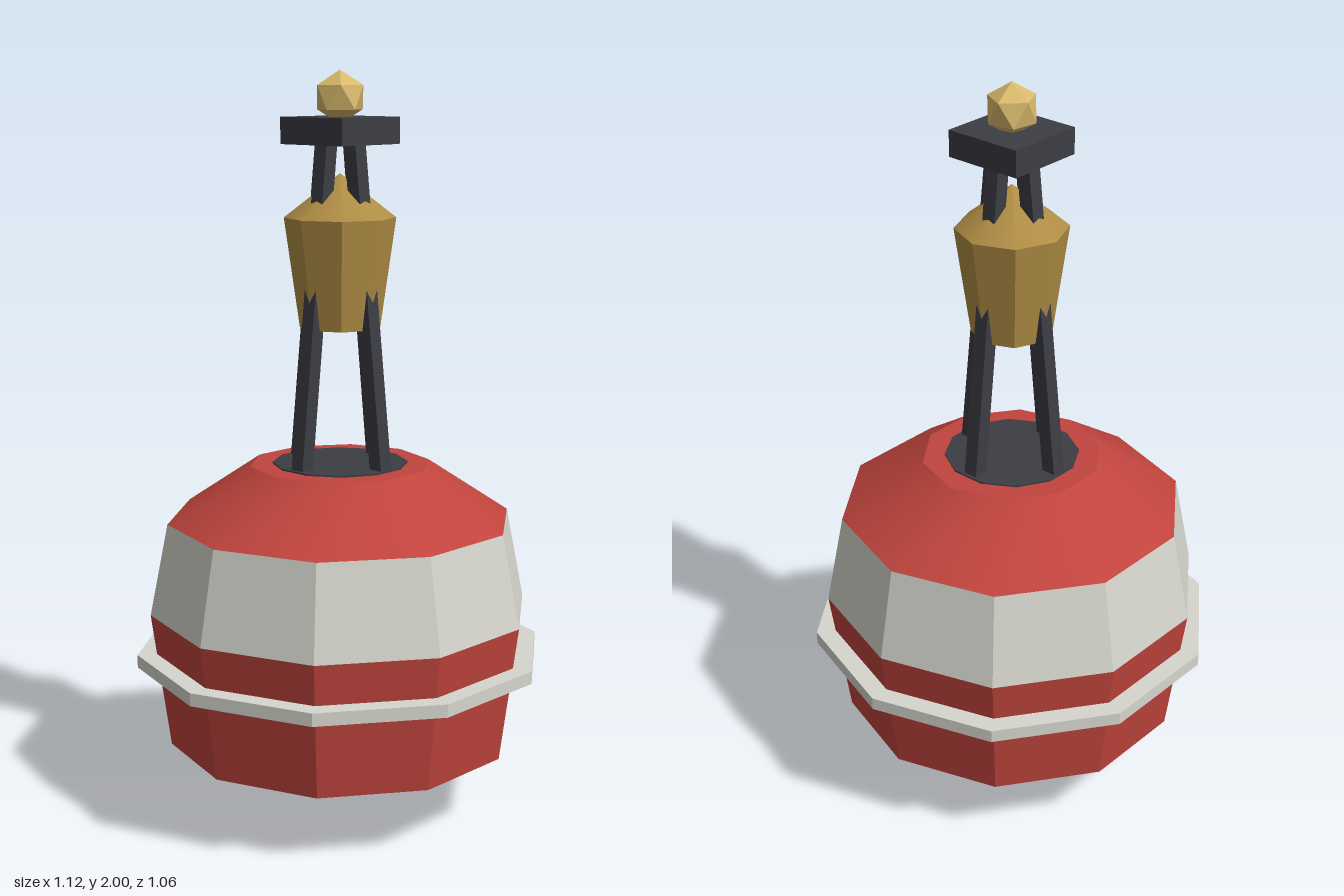
import * as THREE from 'three';
import { toCreasedNormals } from 'three/addons/utils/BufferGeometryUtils.js';

const paint = (name, color) => {
  const m = new THREE.MeshStandardMaterial({ color });
  m.name = name;
  return m;
};

export function createModel() {
  const red = paint('red', 0xc0443d);
  const white = paint('off white', 0xd6d6ce);
  const iron = paint('dark iron', 0x3c3c44);
  const bronze = paint('bronze', 0xb08d45);
  const lamp = paint('pale gold', 0xd8b96c);
  const bronzeShell = paint('bronze shell', 0xb08d45);
  bronzeShell.side = THREE.DoubleSide;

  const model = new THREE.Group();
  model.name = 'buoy';

  const add = (name, geometry, material, x = 0, y = 0, z = 0) => {
    const mesh = new THREE.Mesh(geometry, material);
    mesh.name = name;
    mesh.position.set(x, y, z);
    model.add(mesh);
    return mesh;
  };

  // Faceted frustum between two heights; gentle slopes stay smooth
  const frustum = (name, material, sides, start, y0, r0, y1, r1, open = true) => {
    const g = new THREE.CylinderGeometry(r1, r0, y1 - y0, sides, 1, open, start);
    add(name, toCreasedNormals(g, Math.PI / 6), material, 0, (y0 + y1) / 2, 0);
  };

  // Ten-sided hull with corners on the x axis
  const hull = (name, material, ...rest) => frustum(name, material, 10, Math.PI / 10, ...rest);
  hull('hullBottom', red, 0, 0, 0.19, 0.47);
  hull('hullLower', red, 0.19, 0.47, 0.56, 0.52);
  hull('hullBand', white, 0.56, 0.52, 0.81, 0.47);
  hull('hullTop', red, 0.81, 0.47, 0.96, 0.245, false);
  hull('fender', white, 0.415, 0.558, 0.45, 0.558, false);

  // Deck plate under the tower
  frustum('deckPlate', iron, 12, Math.PI / 12, 0.95, 0.182, 0.964, 0.182, false);

  // Four leaning tower legs
  const foot = new THREE.Vector3(0, 0.94, 0.149);
  const head = new THREE.Vector3(0, 1.83, 0.05);
  const leg = new THREE.BoxGeometry(0.04, foot.distanceTo(head), 0.04);
  leg.rotateX(Math.atan2(head.z - foot.z, head.y - foot.y));
  leg.translate(0, (foot.y + head.y) / 2, (foot.z + head.z) / 2);
  for (let i = 0; i < 4; i++) add('towerLeg', leg, iron).rotation.y = (i * Math.PI) / 2;

  // Bell, open underneath
  frustum('bellBody', bronzeShell, 8, 0, 1.33, 0.107, 1.62, 0.148);
  frustum('bellCap', bronzeShell, 8, 0, 1.62, 0.148, 1.735, 0);

  // Top platform and lamp, one corner of the lamp pointing up
  add('platform', new THREE.BoxGeometry(0.22, 0.07, 0.22), iron, 0, 1.845, 0);
  const ball = new THREE.IcosahedronGeometry(0.07, 0);
  ball.rotateZ(Math.atan(2 / (1 + Math.sqrt(5))));
  ball.rotateY(Math.PI / 4);
  add('lamp', ball, lamp, 0, 1.93, 0);

  return model;
}
